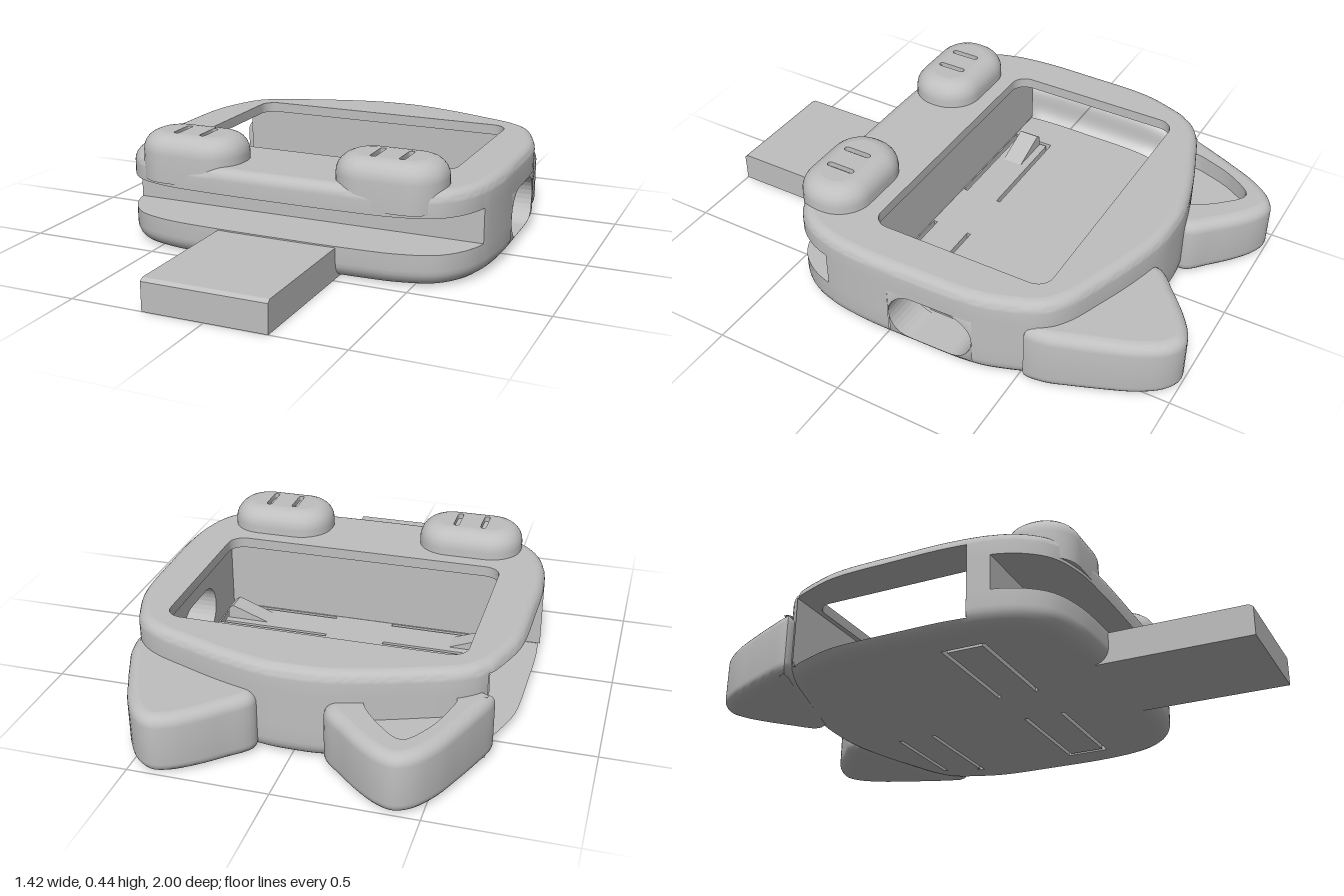
import * as THREE from 'three';
import { toCreasedNormals } from 'three/addons/utils/BufferGeometryUtils.js';

const V2 = (x, y) => new THREE.Vector2(x, y);

// Closed smooth outline in the ground plane (Vector2 = x, z)
function smoothLoop(points, count) {
  const curve = new THREE.CatmullRomCurve3(points.map(([x, z]) => new THREE.Vector3(x, 0, z)), true, 'centripetal');
  return curve.getSpacedPoints(count).slice(0, count).map((p) => V2(p.x, p.z));
}

function roundRect(x0, x1, z0, z1, r, steps = 8) {
  const pts = [];
  [[x1 - r, z1 - r], [x0 + r, z1 - r], [x0 + r, z0 + r], [x1 - r, z0 + r]].forEach(([cx, cz], k) => {
    for (let i = 0; i <= steps; i++) {
      const a = (k + i / steps) * Math.PI / 2;
      pts.push(V2(cx + r * Math.cos(a), cz + r * Math.sin(a)));
    }
  });
  return pts;
}

// Move a loop inwards along its normals
const inset = (loop, d) => loop.map((p, i) => {
  const n = loop.length;
  const t = loop[(i + 1) % n].clone().sub(loop[(i + n - 1) % n]).normalize();
  return V2(p.x - t.y * d, p.y + t.x * d);
});

// Height profile with rounded bottom and top edges: [inset, y]
function profile(y0, y1, rb, rt, extras = []) {
  const out = [], N = 6;
  for (let i = 0; i <= N && rb; i++) {
    const a = i / N * Math.PI / 2;
    out.push([rb * (1 - Math.sin(a)), y0 + rb * (1 - Math.cos(a))]);
  }
  if (!rb) out.push([0, y0]);
  extras.forEach((y) => out.push([0, y]));
  for (let i = 0; i <= N; i++) {
    const a = i / N * Math.PI / 2;
    out.push([rt * (1 - Math.cos(a)), y1 - rt * (1 - Math.sin(a))]);
  }
  return out;
}

// Wall lofted from a loop through the profile, leaving out skipped cells
function wall(loop, levels, skip = () => false) {
  const n = loop.length, pos = [], idx = [];
  for (const [d, y] of levels) inset(loop, d).forEach((p) => pos.push(p.x, y, p.y));
  for (let r = 0; r + 1 < levels.length; r++) for (let i = 0; i < n; i++) {
    const j = (i + 1) % n, a = r * n + i, b = r * n + j;
    const y = (levels[r][1] + levels[r + 1][1]) / 2;
    if (skip((loop[i].x + loop[j].x) / 2, y, (loop[i].y + loop[j].y) / 2)) continue;
    idx.push(a, a + n, b, b, a + n, b + n);
  }
  const g = new THREE.BufferGeometry();
  g.setAttribute('position', new THREE.Float32BufferAttribute(pos, 3));
  g.setIndex(idx);
  return toCreasedNormals(g, 0.6);
}

const flat = (pts, holes = []) => {
  const s = new THREE.Shape(pts);
  holes.forEach((h) => s.holes.push(new THREE.Path(h)));
  return new THREE.ShapeGeometry(s);
};
const plate = (pts, y, holes) => flat(pts, holes).rotateX(Math.PI / 2).translate(0, y, 0);

export function createModel() {
  const model = new THREE.Group();
  model.name = 'catCase';
  const grey = new THREE.MeshStandardMaterial({ color: 0xbfbfbf, side: THREE.DoubleSide });
  grey.name = 'grey';
  const add = (name, geometry, parent = model) => {
    const m = new THREE.Mesh(geometry, grey);
    m.name = name;
    parent.add(m);
    return m;
  };
  const group = (name) => {
    const g = new THREE.Group();
    g.name = name;
    model.add(g);
    return g;
  };

  // Head-shaped outline of the case
  const half = [[0.1, -0.775], [0.25, -0.74], [0.4, -0.69], [0.55, -0.63], [0.62, -0.57], [0.67, -0.46], [0.7, -0.35],
    [0.71, -0.1], [0.71, 0.1], [0.69, 0.25], [0.65, 0.35], [0.58, 0.425], [0.45, 0.468], [0.25, 0.482]];
  const outline = smoothLoop([[0, -0.78], ...half, [0, 0.485], ...half.map(([x, z]) => [-x, z]).reverse()], 220);
  // Line the outline up with the edges of the openings
  for (const [side, z] of [[1, 0.25], [-1, 0.25], [1, -0.35], [1, -0.02], [-1, -0.56], [-1, 0.17]]) {
    const near = outline.filter((p) => p.x * side > 0.4).sort((a, b) => Math.abs(a.y - z) - Math.abs(b.y - z))[0];
    near.y = z;
  }
  const xAt = (z) => {
    const i = outline.findIndex((p, k) => k + 1 < outline.length && p.x > 0.3 && p.y <= z && outline[k + 1].y >= z);
    const a = outline[i], b = outline[i + 1];
    return a.x + (b.x - a.x) * (z - a.y) / (b.y - a.y || 1);
  };

  // Outer skin with strap slot, open left end and side port left out
  const floorY = 0.03, roofY = 0.3, topY = 0.34, inX = 0.56, z0 = -0.56, z1 = 0.17;
  const body = group('caseBody');
  add('outerShell', wall(outline, profile(0, topY, 0.06, 0.04, [0.12, 0.225, 0.25]), (x, y, z) =>
    (z > 0.25 && y > 0.12 && y < 0.25) ||
    (x < 0 && z > z0 && z < z1 && y > floorY && y < roofY) ||
    (x > 0 && z > -0.35 && z < -0.02 && y > floorY && y < 0.225)), body);

  // U-shaped cuts around the four spring clips
  const w = 0.015, cuts = [];
  for (const s of [-1, 1]) for (const [a, b] of [[-0.555, -0.393], [0, 0.165]]) {
    cuts.push([[0.115, a], [0.555, a], [0.555, b], [0.115, b], [0.115, b - w], [0.555 - w, b - w], [0.555 - w, a + w],
      [0.115, a + w]].map(([x, z]) => V2(s * x, z)));
  }
  const win = roundRect(-0.54, 0.54, -0.54, 0.15, 0.06);
  const bay = (d) => [...inset(outline, d).filter((p, i) => outline[i].x < 0 && outline[i].y > z0 - 1e-4 && outline[i].y < z1 + 1e-4),
    V2(inX, z0), V2(inX, z1)];
  add('base', plate(inset(outline, 0.06), 0, cuts), body);
  add('bayFloor', plate(bay(0.008), floorY, cuts), body);
  cuts.forEach((c) => add('clipCut', wall(c, [[0, 0], [0, floorY]]), body));
  add('roof', plate(inset(outline, 0.04), topY, [win]), body);
  add('bayCeiling', plate(bay(0), roofY, [win]), body);
  add('windowRim', wall(win, [[0, roofY], [0, topY]]), body);

  // Walls of the device bay
  for (const z of [z0, z1]) {
    const left = -xAt(z);
    add('bayWall', new THREE.PlaneGeometry(inX - left, roofY - floorY)
      .translate((inX + left) / 2, (roofY + floorY) / 2, z), body);
  }

  // Rounded side port: outer plate, tunnel and inner wall (drawn as z, y)
  const port = roundRect(-0.348, -0.022, 0.032, 0.223, 0.095);
  const rect = (a, b, c, d) => [V2(a, c), V2(b, c), V2(b, d), V2(a, d)];
  const toSide = (g, xOf) => {
    const p = g.attributes.position;
    for (let i = 0; i < p.count; i++) {
      const z = p.getX(i), y = p.getY(i);
      p.setXYZ(i, xOf(z, y, p.getZ(i)), y, z);
    }
    g.computeVertexNormals();
    return g;
  };
  const skinX = (z, y) => xAt(z) - (y < 0.06 ? 0.06 - Math.sqrt(0.0036 - (0.06 - y) ** 2) : 0);
  add('portSurround', toSide(flat(rect(-0.35, -0.02, floorY, 0.225), [port]), skinX), body);
  add('portWall', toSide(flat(rect(z0, z1, floorY, roofY), [port]), () => inX), body);
  const tunnel = wall(port, [[0, 0], [0, 1]]);
  tunnel.applyMatrix4(new THREE.Matrix4().set(1, 0, 0, 0, 0, 0, 1, 0, 0, 1, 0, 0, 0, 0, 0, 1));
  add('portTunnel', toSide(tunnel, (z, y, t) => (t < 0.5 ? inX : skinX(z, y))), body);

  // Strap slot across the front
  const lip = outline.filter((p) => p.y > 0.25 - 1e-4);
  add('slotFloor', plate(lip, 0.12), body);
  add('slotCeiling', plate(lip, 0.25), body);
  add('slotBack', new THREE.PlaneGeometry(2 * xAt(0.25), 0.13).translate(0, 0.185, 0.25), body);

  // Clip hooks and the stop by the port
  for (const s of [-1, 1]) for (const z of [-0.475, 0.085]) {
    const hook = new THREE.ExtrudeGeometry(new THREE.Shape([V2(s * 0.37, floorY), V2(s * 0.535, floorY),
      V2(s * 0.535, 0.07), V2(s * 0.515, 0.085)]), { depth: 0.08, bevelEnabled: false });
    add('clipHook', hook.translate(0, 0, z - 0.04), body);
  }
  add('portStop', new THREE.BoxGeometry(0.06, 0.025, 0.22).translate(0.515, floorY + 0.0125, -0.195), body);

  // Tongue with a slightly chamfered front edge
  const tongue = new THREE.ExtrudeGeometry(new THREE.Shape([V2(0.43, 0), V2(1, 0), V2(1, 0.105), V2(0.985, 0.115),
    V2(0.43, 0.115)]), { depth: 0.46, bevelEnabled: false });
  add('tongue', tongue.rotateY(-Math.PI / 2).translate(0.23, 0, 0));

  // Ears with a sunken inner triangle; tops slope down to the tips
  const earPts = [[0.14, -0.72], [0.12, -0.785], [0.2, -0.87], [0.28, -0.94], [0.35, -0.985], [0.41, -1], [0.47, -0.97],
    [0.53, -0.89], [0.58, -0.78], [0.62, -0.68], [0.648, -0.6], [0.65, -0.52], [0.6, -0.525], [0.56, -0.58]];
  const innerPts = [[0.24, -0.7], [0.245, -0.745], [0.32, -0.84], [0.41, -0.9], [0.48, -0.82], [0.52, -0.72], [0.535, -0.64],
    [0.5, -0.625]];
  for (const s of [1, -1]) {
    const place = (pts) => {
      const out = pts.map(([x, z]) => [s * x, s < 0 ? Math.min(z, -0.575) : z]);
      return s < 0 ? out.reverse() : out;
    };
    const ear = group(s > 0 ? 'leftEar' : 'rightEar');
    const rim = smoothLoop(place(earPts), 80), inner = smoothLoop(place(innerPts), 50);
    const h = 0.225, deep = 0.16, r = 0.04;
    add('earSide', wall(rim, profile(0, h, r, r)), ear);
    add('earBottom', plate(inset(rim, r), 0), ear);
    add('earRim', plate(inset(rim, r), h, [inner]), ear);
    add('innerEarEdge', wall(inner, [[0, deep], [0, h]]), ear);
    add('innerEar', plate(inner, deep), ear);
    ear.children.forEach(({ geometry }) => {
      const p = geometry.attributes.position;
      for (let i = 0; i < p.count; i++) p.setY(i, p.getY(i) * (1 + 0.25 * (p.getZ(i) + 0.85)));
    });
  }

  // Paws resting on the front edge, each with two toe grooves
  for (const s of [1, -1]) {
    const paw = group(s > 0 ? 'leftPaw' : 'rightPaw');
    const cx = s * 0.385, y0 = 0.262, y1 = 0.435, r = 0.07;
    const loop = roundRect(cx - 0.2, cx + 0.2, 0.21, 0.478, 0.125, 10);
    const grooves = [-0.053, 0.053].map((o) => roundRect(cx + o - 0.011, cx + o + 0.011, 0.292, 0.404, 0.0105, 4));
    add('pawSide', wall(loop, profile(y0, y1, 0, r)), paw);
    add('pawBottom', plate(loop, y0), paw);
    add('pawTop', plate(inset(loop, r), y1, grooves), paw);
    grooves.forEach((g) => {
      add('toeGrooveEdge', wall(g, [[0, y1 - 0.02], [0, y1]]), paw);
      add('toeGroove', plate(g, y1 - 0.02), paw);
    });
  }
  return model;
}
